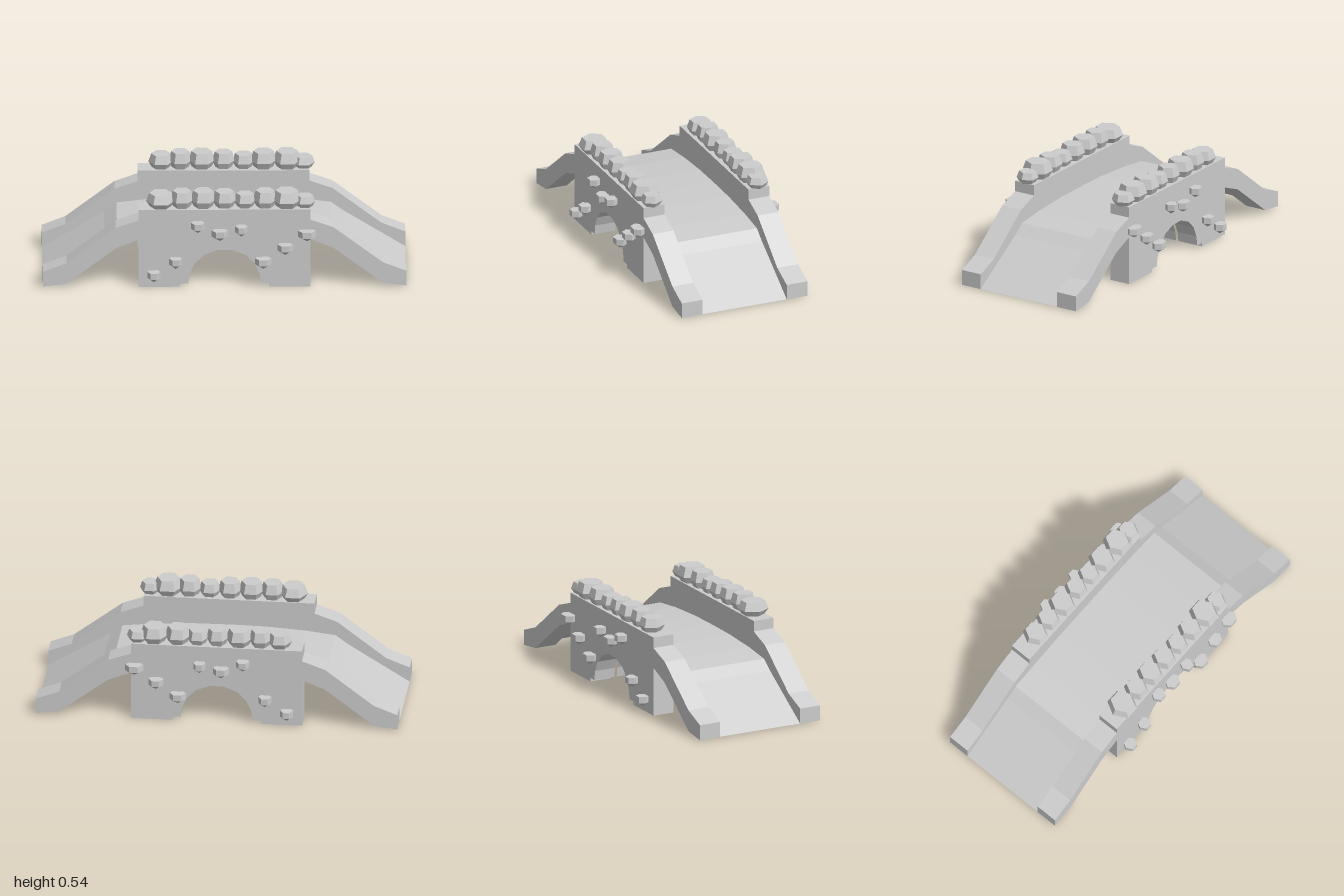
import * as THREE from 'three';

export function createModel() {
  const bridge = new THREE.Group();
  bridge.name = 'stoneBridge';
  const stone = new THREE.MeshStandardMaterial({ color: 0xcccccc, flatShading: true, side: THREE.DoubleSide });
  stone.name = 'grey stone';

  const add = (name, geometry, parent = bridge) => {
    const mesh = new THREE.Mesh(geometry, stone);
    mesh.name = name;
    parent.add(mesh);
    return mesh;
  };

  // Half of the arch opening, from the foot to the crown
  const arch = [[0.2, 0.02], [0.192, 0.075], [0.165, 0.135], [0.115, 0.185], [0.04, 0.215]];
  const mirrored = (points) => [...points].reverse().map(([x, y]) => [-x, y]);

  // Side wall: parapet, sloping arms, legs and arch in one outline
  const halfWall = [
    ...[...arch].reverse(), [0.245, 0.02], [0.245, 0], [0.473, 0], [0.473, 0.275], [0.6, 0.225],
    [0.87, 0.02], [1, 0.003], [1, 0.09], [0.87, 0.14], [0.6, 0.345], [0.473, 0.39], [0.473, 0.45],
  ];
  const outline = [...halfWall, ...mirrored(halfWall)].map((p) => new THREE.Vector2(...p));
  const wallGeometry = new THREE.ExtrudeGeometry(new THREE.Shape(outline), { depth: 0.125, bevelEnabled: false });
  add('frontWall', wallGeometry).position.z = 0.25;
  add('backWall', wallGeometry).position.z = -0.38;

  // Open sheet swept along z from a line in x and y
  const sheet = (line, z0, z1) => {
    const geometry = new THREE.PlaneGeometry(1, 1, line.length - 1, 1);
    const position = geometry.attributes.position;
    for (let i = 0; i < position.count; i++) {
      const [x, y] = line[i % line.length];
      position.setXYZ(i, x, y, i < line.length ? z0 : z1);
    }
    geometry.computeVertexNormals();
    return geometry;
  };

  // Walkway and the vault beneath it
  const halfDeck = [[0.2, 0.298], [0.42, 0.285], [0.59, 0.265], [0.658, 0.215], [1, 0.004]];
  add('deck', sheet([...mirrored(halfDeck), [0, 0.3], ...halfDeck], -0.255, 0.25));
  const halfVault = [...arch].reverse();
  add('archVault', sheet([...mirrored(halfVault), ...halfVault], -0.24, 0.235));

  // Six-sided stone turned from a profile, with corners toward both ends
  const hexStone = (profile) =>
    new THREE.LatheGeometry(profile.map((p) => new THREE.Vector2(...p)), 6, Math.PI / 2);

  // Coping stones on each parapet: x, radius, height
  const copings = {
    front: [[-0.352, 0.08, 0.08], [-0.235, 0.065, 0.093], [-0.118, 0.07, 0.093], [0, 0.066, 0.09],
      [0.112, 0.06, 0.077], [0.223, 0.066, 0.093], [0.342, 0.08, 0.093], [0.442, 0.057, 0.065]],
    back: [[-0.345, 0.068, 0.08], [-0.238, 0.064, 0.093], [-0.12, 0.073, 0.093], [0, 0.062, 0.09],
      [0.11, 0.06, 0.08], [0.22, 0.072, 0.093], [0.35, 0.077, 0.093], [0.442, 0.06, 0.065]],
  };
  for (const [side, z] of [['front', 0.313], ['back', -0.32]]) {
    const row = new THREE.Group();
    row.name = side + 'CopingStones';
    bridge.add(row);
    for (const [x, r, h] of copings[side]) {
      const geometry = hexStone([[0, 0], [r * 0.72, 0], [r, h * 0.42], [r * 0.78, h], [0, h]]);
      const mesh = add('copingStone', geometry, row);
      mesh.position.set(x, 0.448, z);
      mesh.scale.z = 1.08;
    }
  }

  // Stones jutting from the wall faces: x, y, radius
  const studs = [[-0.39, 0.068, 0.036], [-0.27, 0.145, 0.036], [-0.148, 0.355, 0.038], [-0.027, 0.308, 0.045],
    [0.092, 0.333, 0.034], [0.212, 0.145, 0.045], [0.333, 0.225, 0.042], [0.453, 0.305, 0.05]];
  for (const [side, z] of [['front', 0.4], ['back', -0.402]]) {
    const set = new THREE.Group();
    set.name = side + 'WallStones';
    bridge.add(set);
    for (const [x, y, r] of studs) {
      const geometry = hexStone([[0, -0.032], [r, -0.006], [r, 0.029], [0, 0.029]]);
      const mesh = add('wallStone', geometry, set);
      mesh.position.set(x, y, z);
      mesh.scale.z = 0.034 / (r * 0.866);
    }
  }
  return bridge;
}
